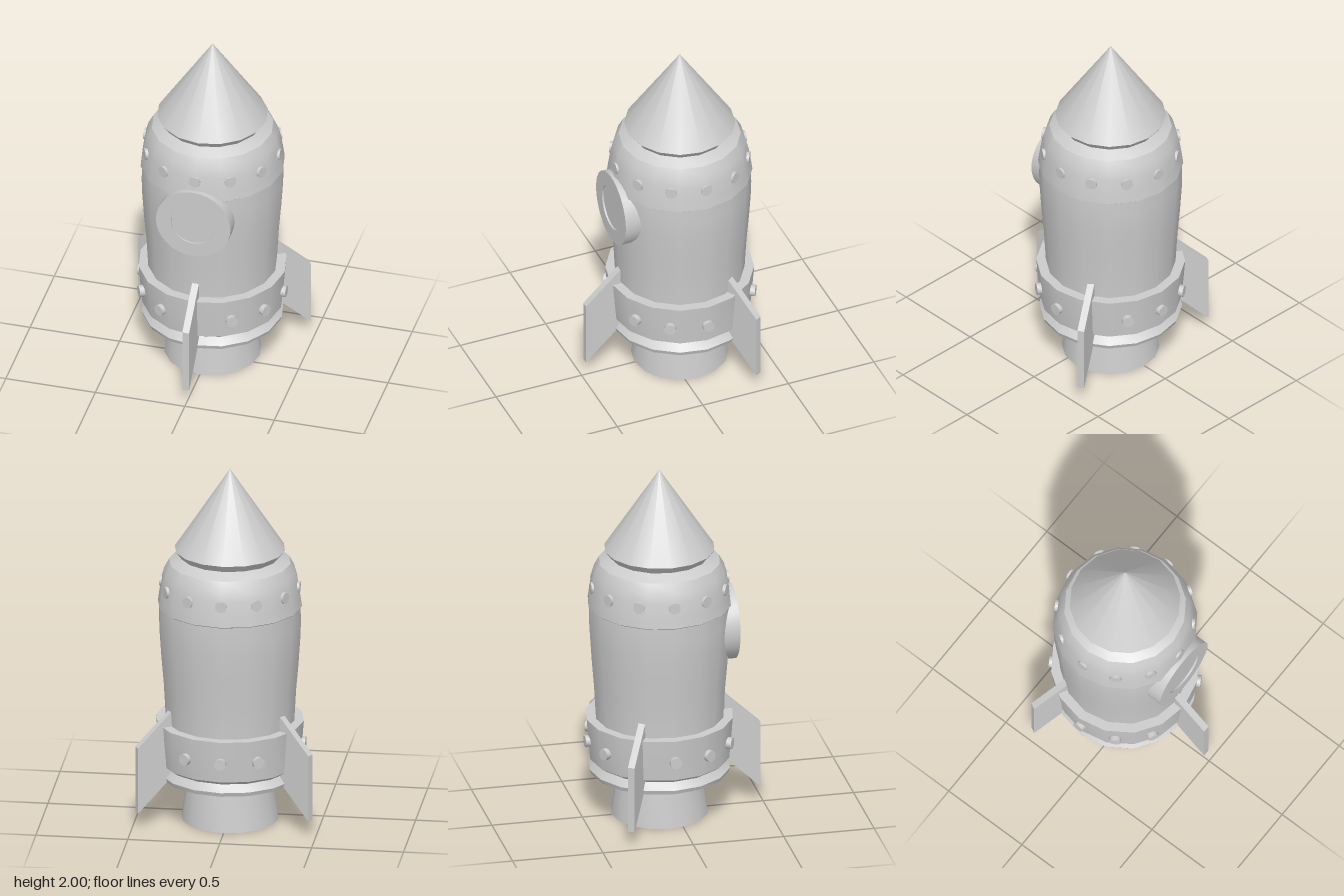
import * as THREE from 'three';
import { toCreasedNormals } from 'three/addons/utils/BufferGeometryUtils.js';

const SIDES = 16;
const AXIS_Z = -0.074;
const material = new THREE.MeshStandardMaterial({ color: 0xcccccc, side: THREE.DoubleSide });

function addMesh(parent, name, geometry) {
  const mesh = new THREE.Mesh(geometry, material);
  mesh.name = name;
  parent.add(mesh);
  return mesh;
}

// Turned part from [radius, height] pairs, listed bottom to top on the outside
function turned(parent, name, profile, sides = SIDES) {
  const points = profile.map(([r, y]) => new THREE.Vector2(r, y));
  return addMesh(parent, name, toCreasedNormals(new THREE.LatheGeometry(points, sides), 0.5));
}

// Ring of studs pointing outward; skip(i) leaves gaps
function rivetRing(parent, name, y, radius, skip) {
  const ring = new THREE.Group();
  ring.name = name;
  const stud = toCreasedNormals(new THREE.CylinderGeometry(0.032, 0.032, 0.05, 12), 0.6);
  stud.rotateX(Math.PI / 2);
  for (let i = 0; i < 12; i++) {
    if (skip(i)) continue;
    const a = (i * Math.PI) / 6;
    const rivet = addMesh(ring, 'rivet', stud);
    rivet.position.set(Math.sin(a) * (radius - 0.025), y, Math.cos(a) * (radius - 0.025));
    rivet.rotation.y = a;
  }
  parent.add(ring);
}

export function createModel() {
  const model = new THREE.Group();
  model.name = 'rocket';
  const body = new THREE.Group();
  body.name = 'body';
  body.position.z = AXIS_Z;
  model.add(body);

  // Hull, from nose to nozzle
  turned(body, 'noseCone', [[0, 1.505], [0.27, 1.505], [0.30, 1.545], [0, 2]]);
  turned(body, 'shoulderBand', [
    [0.375, 1.215], [0.392, 1.228], [0.385, 1.28], [0.372, 1.365],
    [0.357, 1.42], [0.33, 1.47], [0.27, 1.505], [0, 1.505],
  ]);
  turned(body, 'fuselage', [
    [0.345, 0.32], [0.35, 0.57], [0.36, 0.75], [0.373, 0.9], [0.383, 1.05], [0.386, 1.14], [0.384, 1.23],
  ]);
  turned(body, 'lowerBand', [
    [0.35, 0.312], [0.382, 0.335], [0.392, 0.445], [0.402, 0.57], [0.35, 0.57],
  ]);
  turned(body, 'baseRim', [
    [0, 0.252], [0.378, 0.252], [0.386, 0.275], [0.355, 0.31], [0.34, 0.33],
  ]);
  turned(body, 'nozzle', [
    [0, 0.24], [0.175, 0.24], [0.2, 0], [0.263, 0], [0.228, 0.26],
  ]);

  // Rivets; the lower ring makes room for the fins
  rivetRing(body, 'upperRivets', 1.34, 0.381, () => false);
  rivetRing(body, 'lowerRivets', 0.445, 0.413, (i) => i % 4 === 0);

  // Porthole: ring turned about the z axis with a slightly recessed pane
  const porthole = new THREE.Group();
  porthole.name = 'porthole';
  porthole.position.set(0, 1.08, 0);
  porthole.rotation.x = Math.PI / 2;
  turned(porthole, 'portholeFrame', [
    [0.208, 0.2], [0.208, 0.328], [0.125, 0.328], [0.125, 0.3],
  ], 32);
  turned(porthole, 'portholePane', [[0.127, 0.318], [0, 0.318]], 32);
  model.add(porthole);

  // Three swept fins
  const outline = new THREE.Shape([
    [0.345, 0.285], [0.546, 0.095], [0.546, 0.47], [0.345, 0.66],
  ].map(([x, y]) => new THREE.Vector2(x, y)));
  const finGeometry = new THREE.ExtrudeGeometry(outline, { depth: 0.038, bevelEnabled: false });
  finGeometry.translate(0, 0, -0.019);
  finGeometry.rotateY(-Math.PI / 2);
  const fins = new THREE.Group();
  fins.name = 'fins';
  fins.position.z = -0.064;
  for (let i = 0; i < 3; i++) {
    addMesh(fins, 'fin', finGeometry).rotation.y = (i * Math.PI * 2) / 3;
  }
  model.add(fins);

  return model;
}
